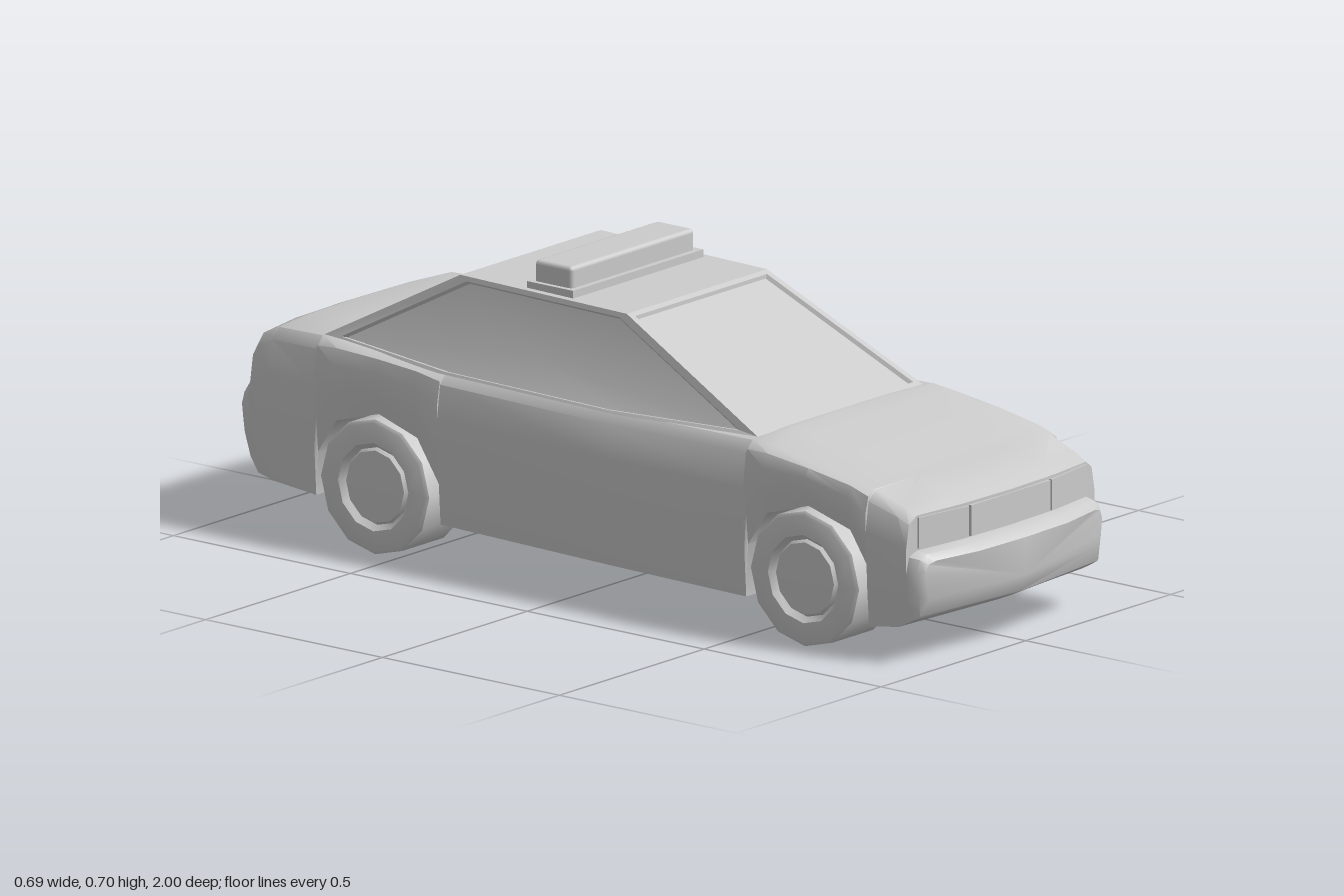
import * as THREE from 'three';
import { toCreasedNormals } from 'three/addons/utils/BufferGeometryUtils.js';
import { RoundedBoxGeometry } from 'three/addons/geometries/RoundedBoxGeometry.js';

const grey = new THREE.MeshStandardMaterial({ color: 0xcccccc });
const thin = new THREE.MeshStandardMaterial({ color: 0xcccccc, side: THREE.DoubleSide });

function add(parent, name, geometry, x = 0, y = 0, z = 0, material = grey) {
  const mesh = new THREE.Mesh(geometry, material);
  mesh.name = name;
  mesh.position.set(x, y, z);
  parent.add(mesh);
  return mesh;
}

function fromTriangles(points, crease) {
  const g = new THREE.BufferGeometry().setFromPoints(points);
  return toCreasedNormals(g, crease);
}

// Rounded plan of nose and tail: pulls the corners inward along z
function bend(x, z) {
  const end = THREE.MathUtils.clamp((Math.abs(z) - 0.8) / 0.2, 0, 1);
  const side = THREE.MathUtils.clamp((Math.abs(x) - 0.13) / 0.18, 0, 1);
  return z - Math.sign(z) * 0.035 * end * side;
}

// Body stations, front to back: z, bottom y (follows the wheel arches), top y, half width
const stations = [
  [1.0, 0.15, 0.235, 0.305], [0.985, 0.11, 0.25, 0.318], [0.955, 0.095, 0.255, 0.325],
  [0.955, 0.095, 0.335, 0.325], [0.92, 0.08, 0.35, 0.328], [0.826, 0.07, 0.378, 0.335],
  [0.825, 0.2, 0.378, 0.335], [0.77, 0.28, 0.39, 0.337], [0.655, 0.315, 0.408, 0.34],
  [0.54, 0.28, 0.427, 0.342], [0.485, 0.2, 0.434, 0.342], [0.48, 0.08, 0.434, 0.342],
  [0.1, 0.085, 0.432, 0.342], [-0.384, 0.095, 0.44, 0.342], [-0.385, 0.18, 0.44, 0.342],
  [-0.45, 0.28, 0.444, 0.342], [-0.56, 0.315, 0.45, 0.34], [-0.68, 0.28, 0.458, 0.338],
  [-0.735, 0.2, 0.461, 0.336], [-0.74, 0.1, 0.461, 0.336], [-0.88, 0.11, 0.457, 0.33],
  [-0.935, 0.12, 0.435, 0.327], [-0.955, 0.14, 0.405, 0.323], [-0.967, 0.15, 0.335, 0.32],
  [-0.993, 0.2, 0.3, 0.312], [-1.0, 0.225, 0.285, 0.305],
];
// Half cross-section: share of half width, share of height
const section = [[0, 0], [0.965, 0], [0.985, 0.3], [1, 0.7], [0.97, 0.92], [0.9, 0.99], [0.5, 1], [0, 1]];

function bodyGeometry() {
  const outline = [...section, ...section.slice(1, -1).reverse().map(([x, y]) => [-x, y])];
  const rings = stations.map(([z, b, t, w]) => outline.map(([u, v]) =>
    new THREE.Vector3(u * w, b + (t - b) * v, bend(u * w, z))));
  const tris = [];
  const n = outline.length;
  for (let i = 0; i + 1 < rings.length; i++) {
    for (let j = 0; j < n; j++) {
      const k = (j + 1) % n;
      const a = rings[i][j], b = rings[i][k], c = rings[i + 1][k], d = rings[i + 1][j];
      tris.push(a, d, b, b, d, c);
    }
  }
  const nose = rings[0], tail = rings[rings.length - 1];
  for (let j = 1; j + 1 < n; j++) {
    tris.push(nose[0], nose[j], nose[j + 1], tail[0], tail[j + 1], tail[j]);
  }
  return fromTriangles(tris, 0.7);
}

// Frame around a polygon with a pane set back behind it
function windowPanel(parent, name, corners, margin = 0.08, depth = 0.008) {
  const n = corners.length;
  const centre = corners.reduce((s, p) => s.add(p), new THREE.Vector3()).divideScalar(n);
  const normal = new THREE.Vector3();
  corners.forEach((p, i) => normal.add(
    p.clone().sub(centre).cross(corners[(i + 1) % n].clone().sub(centre))));
  normal.normalize();
  const ring = (m, d) => corners.map(p => p.clone().lerp(centre, m).addScaledVector(normal, -d));
  const inner = ring(margin, 0), pane = ring(margin + 0.02, depth);
  const mid = centre.clone().addScaledVector(normal, -depth);
  const frame = [], glass = [];
  for (let i = 0; i < n; i++) {
    const k = (i + 1) % n;
    for (const [o, q] of [[corners, inner], [inner, pane]]) {
      frame.push(o[i], o[k], q[i], q[i], o[k], q[k]);
    }
    glass.push(pane[i], pane[k], mid);
  }
  add(parent, name + 'Frame', fromTriangles(frame, 0.3), 0, 0, 0, thin);
  add(parent, name, fromTriangles(glass, 0.5), 0, 0, 0, thin);
}

function cabin() {
  const group = new THREE.Group();
  group.name = 'cabin';
  const v = (x, y, z) => new THREE.Vector3(x, y, z);
  const flip = p => v(-p.x, p.y, p.z);
  const A = v(0.285, 0.432, 0.475), B = v(0.297, 0.458, -0.74);
  const F = v(0.242, 0.632, 0.07), R = v(0.242, 0.64, -0.4);
  const M1 = v(0.322, 0.426, 0.1), M2 = v(0.322, 0.434, -0.4);
  const side = [A, M1, M2, B, R, F];
  windowPanel(group, 'leftWindow', side);
  windowPanel(group, 'rightWindow', side.map(flip).reverse());
  windowPanel(group, 'windscreen', [flip(A), A, F, flip(F)], 0.06);
  windowPanel(group, 'rearWindow', [B, flip(B), flip(R), R], 0.06);
  add(group, 'roof', fromTriangles([flip(F), F, R, flip(F), R, flip(R)], 0.5));
  return group;
}

// Tyre with a dished rim and hub disc, axis turned to x
function wheelGeometry() {
  const profile = [[0, 0], [0.15, 0], [0.153, 0.008], [0.153, 0.15], [0.145, 0.156],
    [0.1, 0.156], [0.088, 0.142], [0.082, 0.15], [0, 0.153]].map(p => new THREE.Vector2(...p));
  const g = new THREE.LatheGeometry(profile, 12).rotateZ(-Math.PI / 2);
  return toCreasedNormals(g, 0.7);
}

export function createModel() {
  const car = new THREE.Group();
  car.name = 'car';
  add(car, 'body', bodyGeometry());
  car.add(cabin());

  // Wheels
  const wheel = wheelGeometry();
  for (const [end, z] of [['front', 0.655], ['rear', -0.56]]) {
    for (const s of [1, -1]) {
      const mesh = add(car, end + (s > 0 ? 'Left' : 'Right') + 'Wheel', wheel, s * 0.191, 0.153, z);
      if (s < 0) mesh.rotation.y = Math.PI;
    }
  }

  // Grille, headlamps and tail lamps
  add(car, 'grille', new THREE.BoxGeometry(0.272, 0.07, 0.008), 0, 0.293, 0.954);
  for (const s of [1, -1]) {
    const side = s > 0 ? 'left' : 'right';
    const head = add(car, side + 'Headlamp', new THREE.BoxGeometry(0.148, 0.07, 0.008),
      s * 0.216, 0.293, bend(0.216, 0.955));
    head.rotation.y = s * 0.15;
    const tail = add(car, side + 'TailLamp', new THREE.BoxGeometry(0.16, 0.055, 0.008),
      s * 0.2, 0.37, bend(0.2, -0.961));
    tail.rotation.set(0.17, -s * 0.15, 0);
  }

  // Roof light bar
  add(car, 'lightBarBase', new THREE.BoxGeometry(0.45, 0.02, 0.13), 0, 0.642, -0.16);
  add(car, 'lightBar', new RoundedBoxGeometry(0.426, 0.06, 0.106, 2, 0.01), 0, 0.67, -0.162);
  return car;
}
